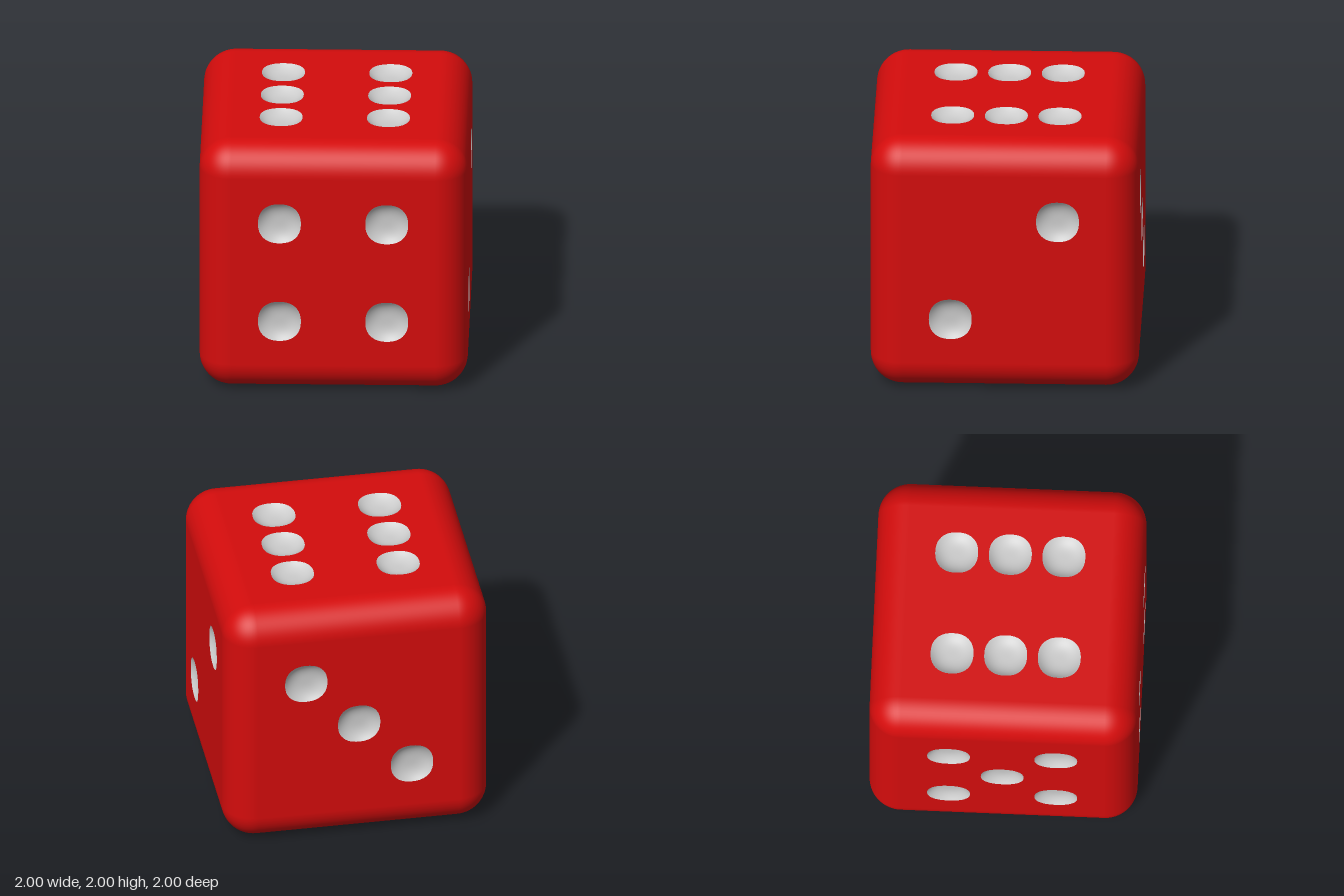
import * as THREE from 'three';
import { RoundedBoxGeometry } from 'three/addons/geometries/RoundedBoxGeometry.js';

const HALF = 1, ROUND = 0.24, FLAT = HALF - ROUND;
const PIP = 0.16, DEPTH = 0.05, SIDES = 48, STEP = 0.4;

const red = new THREE.MeshStandardMaterial({ color: 0xd40c0c });
const grey = new THREE.MeshStandardMaterial({ color: 0xcccccc });

// Slightly squared circle: radius factor for a direction (c, s)
const squircle = (c, s) => (Math.abs(c) ** 2.3 + Math.abs(s) ** 2.3) ** (-1 / 2.3);

// Rounded edges and corners only; the flat squares are cut away to take the dimpled faces
function frameGeometry() {
  const box = new RoundedBoxGeometry(2, 2, 2, 8, ROUND);
  const pos = box.attributes.position, nor = box.attributes.normal;
  const p = [], n = [];
  for (let i = 0; i < pos.count; i += 3) {
    const flat = ['getX', 'getY', 'getZ'].some((get) =>
      [0, 1, 2].every((k) => Math.abs(nor[get](i + k)) > 0.9999));
    if (flat) continue;
    for (let k = i; k < i + 3; k++) {
      p.push(pos.getX(k), pos.getY(k), pos.getZ(k));
      n.push(nor.getX(k), nor.getY(k), nor.getZ(k));
    }
  }
  const geo = new THREE.BufferGeometry();
  geo.setAttribute('position', new THREE.Float32BufferAttribute(p, 3));
  geo.setAttribute('normal', new THREE.Float32BufferAttribute(n, 3));
  return geo;
}

// Shallow bowl opening towards +z
function pipGeometry() {
  const profile = [];
  for (let i = 0; i <= 10; i++) {
    const t = 1 - i / 10;
    profile.push(new THREE.Vector2(PIP * t, -DEPTH * (1 - t ** 3)));
  }
  const geo = new THREE.LatheGeometry(profile, SIDES);
  const pos = geo.attributes.position;
  for (let i = 0; i < pos.count; i++) {
    const x = pos.getX(i), z = pos.getZ(i), r = Math.hypot(x, z);
    if (r < 1e-6) continue;
    const f = squircle(x / r, z / r);
    pos.setX(i, x * f);
    pos.setZ(i, z * f);
  }
  return geo.rotateX(Math.PI / 2);
}

// Flat square with one hole per pip
function faceGeometry(spots) {
  const shape = new THREE.Shape([[-1, -1], [1, -1], [1, 1], [-1, 1]]
    .map(([x, y]) => new THREE.Vector2(x * FLAT, y * FLAT)));
  for (const [u, v] of spots) {
    const rim = [];
    for (let i = 0; i < SIDES; i++) {
      const a = (i / SIDES) * Math.PI * 2, c = Math.cos(a), s = Math.sin(a);
      const r = PIP * squircle(c, s);
      rim.push(new THREE.Vector2(u * STEP + r * c, v * STEP + r * s));
    }
    shape.holes.push(new THREE.Path(rim));
  }
  return new THREE.ShapeGeometry(shape);
}

function addMesh(parent, name, geometry, material) {
  const mesh = new THREE.Mesh(geometry, material);
  mesh.name = name;
  parent.add(mesh);
  return mesh;
}

export function createModel() {
  const die = new THREE.Group();
  die.name = 'die';
  const body = new THREE.Group();
  body.name = 'body';
  body.position.y = HALF;
  die.add(body);

  addMesh(body, 'roundedEdges', frameGeometry(), red);

  // Pip layouts in steps from each face centre, seen from outside
  const corners = [[-1, -1], [1, -1], [-1, 1], [1, 1]];
  const six = [...corners, [-1, 0], [1, 0]];
  const q = Math.PI / 2;
  const faces = [
    ['frontFace', 0, 0, corners],
    ['backFace', 0, 2 * q, [[-1, 1], [0, 0], [1, -1]]],
    ['rightFace', 0, q, [[1, 1], [-1, -1]]],
    ['leftFace', 0, -q, [...corners, [0, 0]]],
    ['topFace', -q, 0, six],
    ['bottomFace', q, 0, [...six, [0, 0]]],
  ];

  const pip = pipGeometry();
  for (const [name, rx, ry, spots] of faces) {
    const face = new THREE.Group();
    face.name = name;
    face.rotation.set(rx, ry, 0);
    body.add(face);
    addMesh(face, 'panel', faceGeometry(spots), red).position.z = HALF;
    for (const [u, v] of spots) {
      addMesh(face, 'pip', pip, grey).position.set(u * STEP, v * STEP, HALF);
    }
  }
  return die;
}
